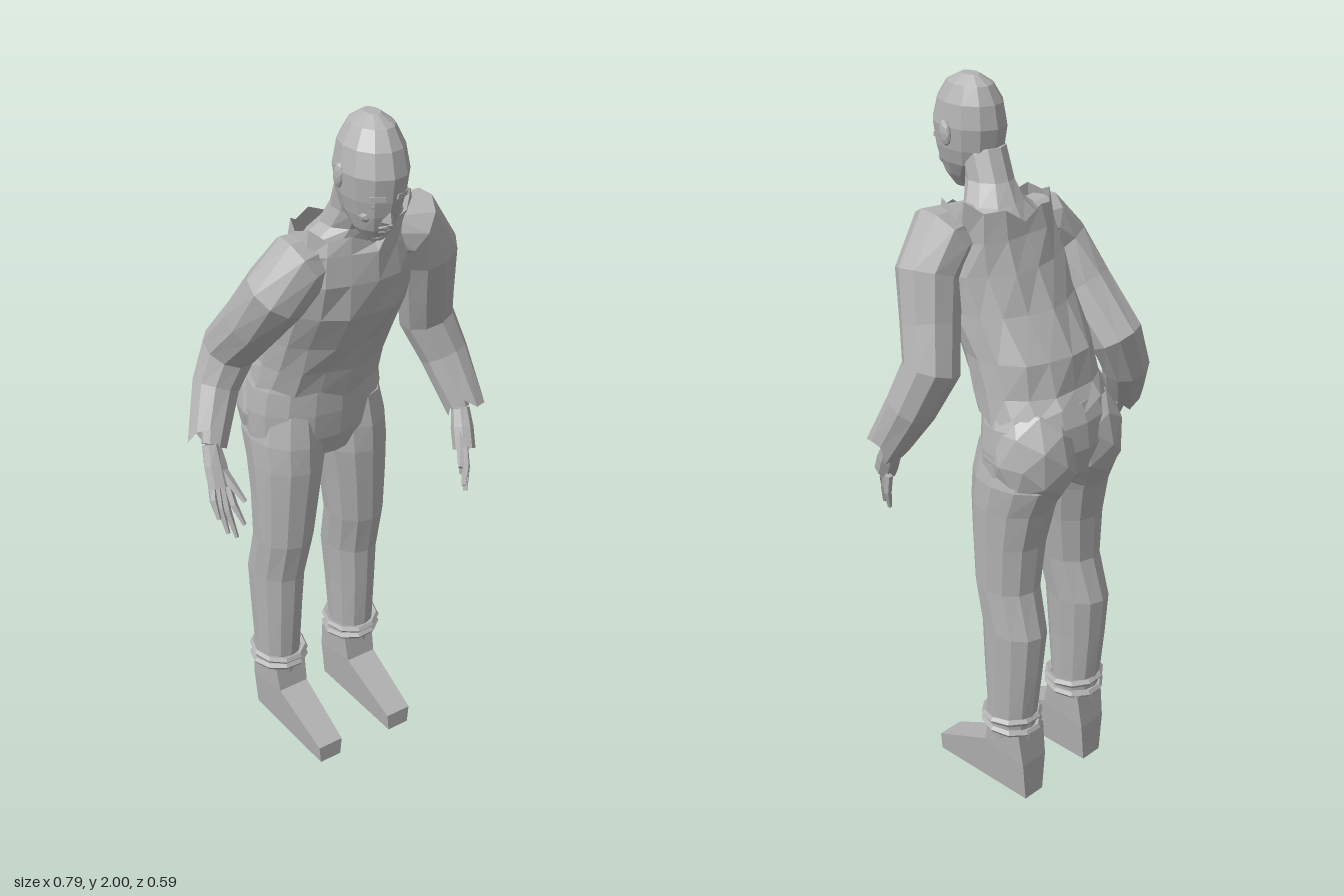
import * as THREE from 'three';

const V = (a) => new THREE.Vector3(a[0], a[1], a[2]);
const grey = new THREE.MeshStandardMaterial({ color: 0xb3b3b3, flatShading: true });
grey.name = 'plain grey';
const cloth = grey.clone(); // same colour, shown from both sides for open cloth
cloth.name = 'plain grey cloth';
cloth.side = THREE.DoubleSide;

function add(parent, name, geo, mat = grey) {
  const m = new THREE.Mesh(geo, mat);
  m.name = name;
  parent.add(m);
  return m;
}

// Skin over rings [x, y, z, side radius, front radius]; level rings must ascend in y
function loft(rings, { sides = 10, level = false, caps = true, warp = null } = {}) {
  const pos = [], idx = [], n = rings.length;
  rings.forEach((r, k) => {
    const t = level ? new THREE.Vector3(0, 1, 0)
      : V(rings[Math.min(k + 1, n - 1)]).sub(V(rings[Math.max(k - 1, 0)])).normalize();
    const u = new THREE.Vector3(0, 0, 1).addScaledVector(t, -t.z).normalize();
    const v = t.clone().cross(u);
    for (let i = 0; i < sides; i++) {
      const a = (i / sides) * Math.PI * 2;
      const p = V(r).addScaledVector(u, Math.cos(a) * (r[4] ?? r[3])).addScaledVector(v, Math.sin(a) * r[3]);
      if (warp) warp(p, k, i, a, t);
      pos.push(p.x, p.y, p.z);
      if (k < n - 1) {
        const j = (i + 1) % sides, b = k * sides, c = b + sides;
        idx.push(b + i, b + j, c + j, b + i, c + j, c + i);
      }
    }
  });
  if (caps) {
    const s = n * sides, e = (n - 1) * sides;
    pos.push(...rings[0].slice(0, 3), ...rings[n - 1].slice(0, 3));
    for (let i = 0; i < sides; i++) {
      const j = (i + 1) % sides;
      idx.push(s, j, i, s + 1, e + i, e + j);
    }
  }
  const g = new THREE.BufferGeometry();
  g.setAttribute('position', new THREE.Float32BufferAttribute(pos, 3));
  g.setIndex(idx);
  g.computeVertexNormals();
  return g;
}

function ball(parent, name, p, s, detail = 1) {
  const m = add(parent, name, new THREE.IcosahedronGeometry(1, detail));
  m.position.set(...p);
  m.scale.set(...s);
  return m;
}

function buildHead() {
  const g = new THREE.Group();
  g.name = 'head';
  add(g, 'skull', loft([
    [-0.02, 1.695, 0.205, 0.026, 0.03], [-0.02, 1.73, 0.2, 0.052, 0.06],
    [-0.018, 1.77, 0.185, 0.07, 0.092], [-0.017, 1.81, 0.182, 0.08, 0.105],
    [-0.016, 1.87, 0.18, 0.087, 0.115], [-0.014, 1.93, 0.175, 0.077, 0.1],
    [-0.01, 1.975, 0.17, 0.053, 0.072], [-0.008, 1.998, 0.165, 0.02, 0.03],
  ], { sides: 12, level: true }));
  // face
  const nose = add(g, 'nose', new THREE.ConeGeometry(0.018, 0.055, 4));
  nose.position.set(-0.018, 1.785, 0.272);
  nose.rotation.x = 0.1;
  ball(g, 'upperLip', [-0.019, 1.741, 0.258], [0.024, 0.007, 0.012], 0);
  ball(g, 'lowerLip', [-0.019, 1.727, 0.25], [0.02, 0.007, 0.012], 0);
  ball(g, 'chin', [-0.02, 1.708, 0.225], [0.024, 0.015, 0.02]);
  for (const s of [-1, 1]) {
    const brow = add(g, 'brow', new THREE.BoxGeometry(0.038, 0.012, 0.02));
    brow.position.set(-0.018 + s * 0.03, 1.822, 0.27);
    brow.rotation.y = s * 0.45;
    ball(g, 'eye', [-0.018 + s * 0.032, 1.801, 0.264], [0.013, 0.008, 0.009], 0);
    ball(g, 'cheek', [-0.018 + s * 0.038, 1.77, 0.233], [0.022, 0.02, 0.022]);
    const ear = ball(g, 'ear', [-0.014 + s * 0.085, 1.855, 0.172], [0.011, 0.034, 0.02]);
    ear.rotation.x = 0.2;
  }
  // turn slightly to the right about the middle of the skull
  const pivot = new THREE.Vector3(-0.018, 0, 0.178);
  g.rotation.y = -0.12;
  g.position.copy(pivot).sub(pivot.clone().applyEuler(g.rotation));
  return g;
}

// Sleeve, ragged cuff and hand
function buildArm(name, sleeve, wrist, palm, tips, thumb) {
  const g = new THREE.Group();
  g.name = name;
  const last = sleeve.length - 1;
  add(g, 'sleeve', loft(sleeve, {
    sides: 10, caps: false,
    warp: (p, k, i, a, t) => {
      if (k === last) p.addScaledVector(t, [0.03, -0.012, 0][i % 3]);
    },
  }), cloth);
  const mid = V(palm), w = V(wrist);
  const fore = w.clone().lerp(V(sleeve[last - 1]), 0.5);
  add(g, 'forearm', loft([[...fore.toArray(), 0.036], [...wrist, 0.026]], { sides: 8 }));
  // the palm is widest along the line of the fingertips
  const spread = V(tips[3]).sub(V(tips[0]));
  const across = spread.clone().normalize();
  const size = [0.021 + 0.016 * Math.abs(across.x), 0.021 + 0.016 * Math.abs(across.z)];
  const down = mid.clone().sub(w);
  add(g, 'palm', loft([
    [...wrist, 0.025, 0.026],
    [...w.clone().addScaledVector(down, 0.55).toArray(), ...size],
    [...w.clone().addScaledVector(down, 1.15).toArray(), ...size],
  ], { sides: 8 }));
  tips.forEach((tip, i) => {
    const base = mid.clone().addScaledVector(spread, (i / 3 - 0.5) * 0.6);
    const knuckle = base.clone().lerp(V(tip), 0.5);
    knuckle.x += Math.sign(palm[0]) * 0.006;
    add(g, 'finger', loft([[...base.toArray(), 0.012], [...knuckle.toArray(), 0.011], [...tip, 0.006]], { sides: 5 }));
  });
  const root = w.clone().lerp(mid, 0.45);
  add(g, 'thumb', loft([[...root.toArray(), 0.018], [...root.clone().lerp(V(thumb), 0.55).toArray(), 0.013], [...thumb, 0.007]], { sides: 5 }));
  return g;
}

// Trouser leg, ankle rings and shoe, on side s of the body's middle
function buildLeg(s) {
  const g = new THREE.Group();
  g.name = s > 0 ? 'leftLeg' : 'rightLeg';
  const cx = 0.025;
  const rings = [
    [0.135, 0.205, -0.137, 0.056, 0.068], [0.134, 0.26, -0.135, 0.064, 0.075],
    [0.132, 0.42, -0.138, 0.07, 0.09], [0.129, 0.55, -0.14, 0.077, 0.099],
    [0.123, 0.68, -0.108, 0.084, 0.095], [0.115, 0.82, -0.107, 0.094, 0.106],
    [0.107, 0.93, -0.114, 0.104, 0.122], [0.105, 1.01, -0.132, 0.105, 0.138], [0.1, 1.1, -0.13, 0.09, 0.12],
  ].map(([o, ...r]) => [cx + s * o, ...r]);
  add(g, 'trouserLeg', loft(rings, {
    sides: 12, level: true,
    warp: (p, k, i) => { if (k === 0) p.y += i % 3 === 0 ? -0.015 : 0.012; },
  }), cloth);
  [0.232, 0.262].forEach((y, i) => {
    const ring = add(g, 'ankleRing', new THREE.TorusGeometry(0.075, 0.011, 5, 10));
    ring.position.set(cx + s * 0.132, y, -0.132);
    ring.rotation.set(Math.PI / 2 + (i ? 0.06 : -0.05), s * 0.04, 0);
    ring.scale.set(1, 1.05, 1);
  });
  // shoe: side profile, narrowed toward the sole
  const shape = new THREE.Shape([
    [-0.13, 0], [0.212, 0], [0.212, 0.12], [0.198, 0.225], [0.08, 0.225], [0.065, 0.145], [-0.13, 0.055],
  ].map((p) => new THREE.Vector2(...p)));
  const shoe = new THREE.ExtrudeGeometry(shape, { depth: 1, bevelEnabled: false });
  shoe.translate(0, 0, -0.5);
  shoe.rotateY(Math.PI / 2);
  const p = shoe.attributes.position;
  for (let i = 0; i < p.count; i++) p.setX(i, p.getX(i) * (0.07 + Math.min(p.getY(i), 0.18) * 0.18));
  shoe.computeVertexNormals();
  add(g, 'shoe', shoe).position.x = cx + s * 0.125;
  return g;
}

export function createModel() {
  const model = new THREE.Group();
  model.name = 'standingFigure';
  model.add(buildHead());

  // neck and upper chest inside the collar
  add(model, 'neck', loft([
    [0.02, 1.58, 0.045, 0.16, 0.1], [0.015, 1.65, 0.05, 0.14, 0.088], [0.008, 1.69, 0.07, 0.085, 0.075],
    [-0.006, 1.74, 0.1, 0.06, 0.067], [-0.015, 1.82, 0.135, 0.058, 0.066],
  ], { sides: 10, level: true }));

  // loose shirt with ragged hem and collar
  add(model, 'shirt', loft([
    [0.022, 1.19, -0.118, 0.194, 0.147], [0.022, 1.25, -0.09, 0.187, 0.145], [0.02, 1.34, -0.06, 0.185, 0.158],
    [0.02, 1.45, 0.005, 0.19, 0.15], [0.02, 1.55, 0.037, 0.195, 0.133], [0.02, 1.63, 0.05, 0.185, 0.114],
    [0.02, 1.672, 0.05, 0.17, 0.102],
  ], {
    sides: 16, level: true, caps: false,
    warp: (p, k, i, a) => {
      if (k === 0) p.y += [-0.018, 0.006, -0.004, 0.012][i % 4] - 0.022 * Math.cos(a);
      else if (k === 6) {
        p.y += Math.abs(Math.sin(a)) * (a < Math.PI ? 0.06 : 0.022) + (i % 2 ? 0.01 : -0.01);
        p.y -= 0.015 * Math.max(0, Math.cos(a));
      } else p.z += 0.006 * Math.sin(i * 2.3 + k * 1.7);
    },
  }), cloth);

  model.add(buildArm('leftArm', [
    [0.1, 1.645, 0.065, 0.065], [0.18, 1.635, 0.08, 0.095], [0.237, 1.55, 0.08, 0.087],
    [0.262, 1.43, 0.053, 0.079], [0.29, 1.32, 0.024, 0.077], [0.325, 1.21, 0.065, 0.068], [0.342, 1.09, 0.135, 0.056],
  ], [0.327, 1.07, 0.145], [0.305, 0.985, 0.192],
  [[0.245, 0.91, 0.272], [0.266, 0.878, 0.255], [0.293, 0.862, 0.22], [0.318, 0.87, 0.172]], [0.245, 0.96, 0.255]));

  model.add(buildArm('rightArm', [
    [-0.06, 1.605, 0.05, 0.065], [-0.14, 1.597, 0.055, 0.088], [-0.197, 1.525, 0.035, 0.088],
    [-0.217, 1.42, -0.045, 0.08], [-0.231, 1.3, -0.15, 0.076], [-0.278, 1.2, -0.148, 0.066], [-0.334, 1.09, -0.1, 0.055],
  ], [-0.338, 1.07, -0.082], [-0.346, 0.98, -0.035],
  [[-0.316, 0.87, 0.038], [-0.336, 0.833, 0.03], [-0.358, 0.85, 0.022], [-0.377, 0.895, 0.01]], [-0.31, 0.94, 0.035]));

  // trousers
  add(model, 'hips', loft([
    [0.022, 0.955, -0.11, 0.1, 0.09], [0.022, 1.02, -0.13, 0.207, 0.132], [0.022, 1.1, -0.135, 0.208, 0.147],
    [0.022, 1.17, -0.13, 0.197, 0.144], [0.022, 1.22, -0.122, 0.178, 0.13],
  ], { sides: 16, level: true }));
  for (const s of [1, -1]) {
    ball(model, 'seatOfTrousers', [0.025 + s * 0.09, 1.08, -0.16], [0.122, 0.165, 0.132]);
    model.add(buildLeg(s));
  }
  return model;
}
